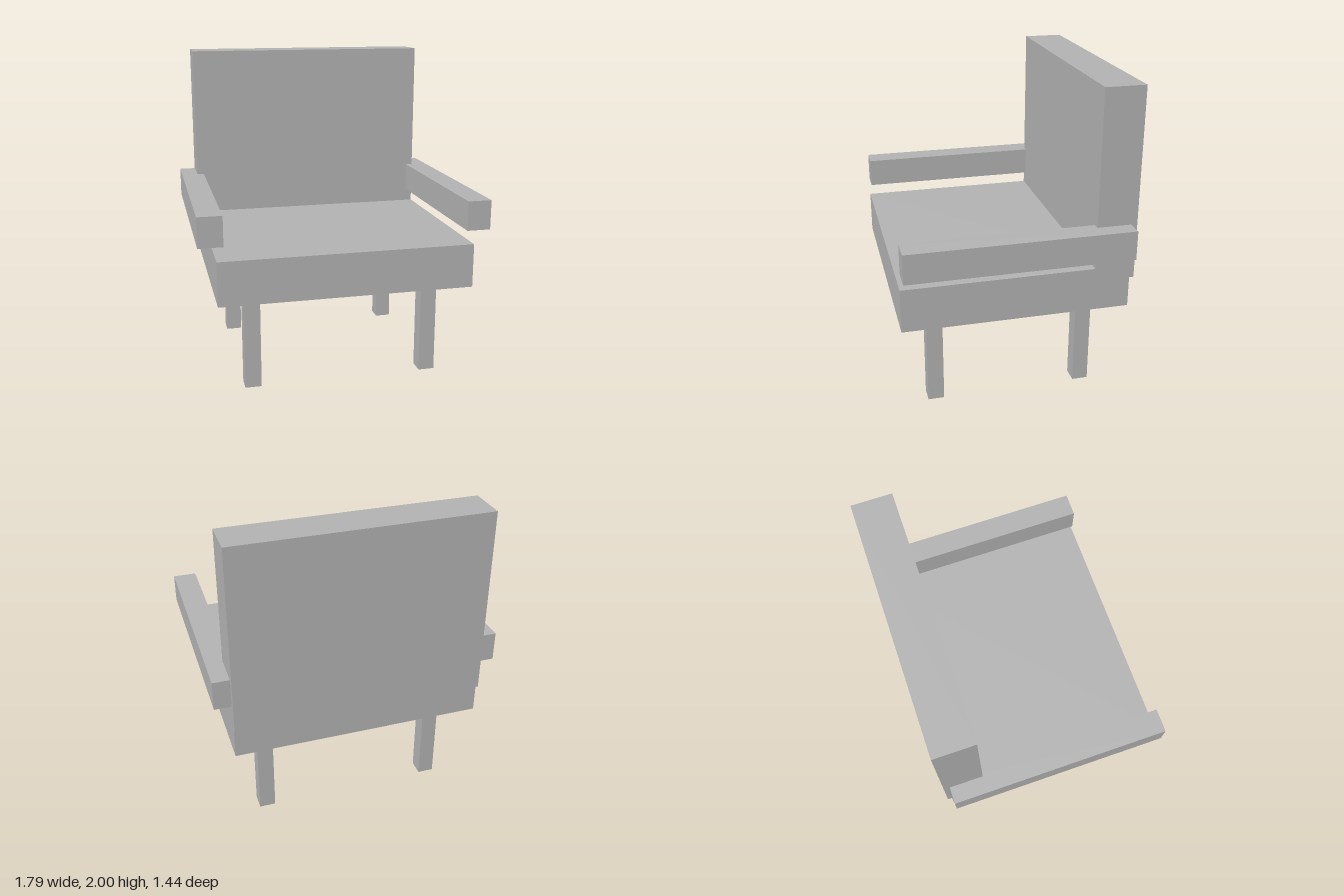
import * as THREE from 'three';

const grey = new THREE.MeshStandardMaterial({ color: 0xb3b3b3 });
grey.name = 'plain grey';

// Box given by its minimum and maximum on each axis
function block(name, [x0, x1], [y0, y1], [z0, z1]) {
  const mesh = new THREE.Mesh(new THREE.BoxGeometry(x1 - x0, y1 - y0, z1 - z0), grey);
  mesh.position.set((x0 + x1) / 2, (y0 + y1) / 2, (z0 + z1) / 2);
  mesh.name = name;
  return mesh;
}

export function createModel() {
  const chair = new THREE.Group();
  chair.name = 'armchair';

  // Seat slab and upright back, sunk slightly into the seat
  chair.add(block('seat', [-0.788, 0.788], [0.61, 0.885], [-0.69, 0.718]));
  chair.add(block('backrest', [-0.788, 0.788], [0.803, 2], [-0.718, -0.467]));

  // Armrests and legs, mirrored left and right
  for (const [side, s] of [['left', 1], ['right', -1]]) {
    const span = (a, b) => (s > 0 ? [a, b] : [-b, -a]);
    chair.add(block(`${side}Armrest`, span(0.744, 0.893), [0.97, 1.155], [-0.68, 0.708]));
    chair.add(block(`${side}FrontLeg`, span(0.516, 0.618), [0, 0.61], [0.445, 0.546]));
    chair.add(block(`${side}BackLeg`, span(0.516, 0.618), [0, 0.61], [-0.515, -0.414]));
  }
  return chair;
}
